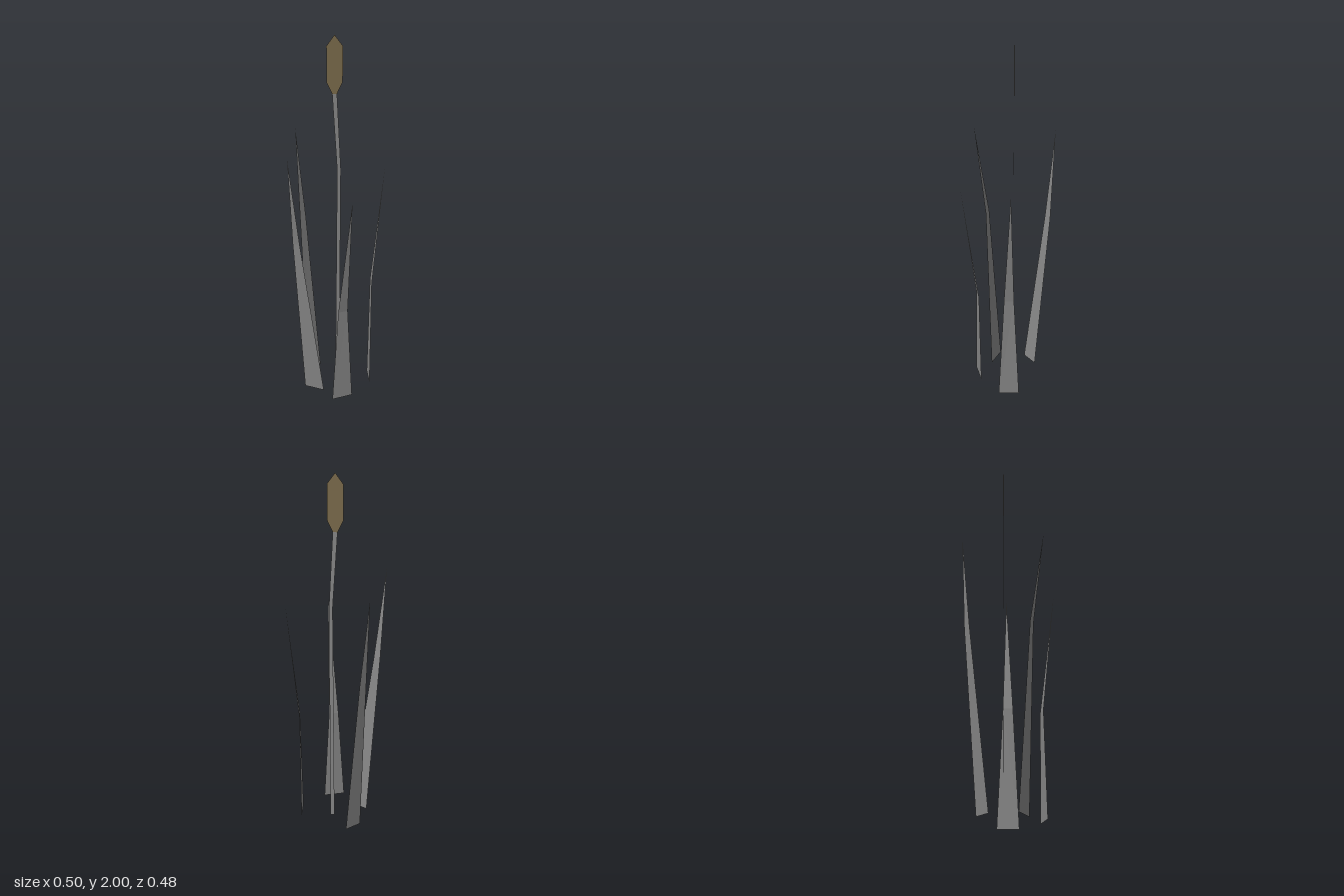
import * as THREE from 'three';

const leafMaterial = new THREE.MeshStandardMaterial({ color: 0x868686, flatShading: true, side: THREE.DoubleSide });
const headMaterial = new THREE.MeshStandardMaterial({ color: 0x7a6a4b, flatShading: true, side: THREE.DoubleSide });

// Flat ribbon through left/right point pairs, from the bottom up.
function ribbon(name, rows, material) {
  const positions = rows.flatMap(([a, b]) => [...a, ...b]);
  const index = [];
  for (let i = 0; i < rows.length - 1; i++) {
    const k = i * 2;
    index.push(k, k + 1, k + 3);
    // a row that ends in a point needs only one triangle
    const [a, b] = rows[i + 1];
    if (a.some((v, j) => v !== b[j])) index.push(k, k + 3, k + 2);
  }
  const geometry = new THREE.BufferGeometry();
  geometry.setAttribute('position', new THREE.Float32BufferAttribute(positions, 3));
  geometry.setIndex(index);
  geometry.computeVertexNormals();
  const mesh = new THREE.Mesh(geometry, material);
  mesh.name = name;
  return mesh;
}

// Each blade: base edge, narrower bend edge and tip, as [x, z] with heights.
const blades = [
  { name: 'backLeaf', base: [[-0.158, -0.091], [-0.086, -0.154]], bend: [[-0.188, -0.195], [-0.157, -0.223]], bendY: 0.95, tip: [-0.204, 1.455, -0.24] },
  { name: 'frontRightLeaf', base: [[-0.181, 0.05], [-0.078, 0.098]], bend: [[-0.233, 0.113], [-0.198, 0.129]], bendY: 0.95, tip: [-0.251, 1.455, 0.19] },
  { name: 'leftLeaf', base: [[0.186, 0.044], [0.18, -0.069]], bend: [[0.191, 0.013], [0.186, -0.04]], bendY: 0.64, tip: [0.251, 1.31, -0.025] },
  { name: 'frontLeaf', base: [[-0.034, 0.185], [0.077, 0.149]], bend: [[-0.001, 0.173], [0.05, 0.156]], bendY: 0.56, tip: [0.065, 1.24, 0.239] },
];

export function createModel() {
  const group = new THREE.Group();
  group.name = 'reedPlant';

  for (const { name, base, bend, bendY, tip } of blades) {
    const rows = [
      base.map(([x, z]) => [x, 0, z]),
      bend.map(([x, z]) => [x, bendY, z]),
      [tip, tip],
    ];
    group.add(ribbon(name, rows, leafMaterial));
  }

  // Flat stalk and seed head in one upright plane: [centre x, y, half width]
  const z = -0.03;
  const flat = (rows) => rows.map(([x, y, w]) => [[x - w, y, z], [x + w, y, z]]);
  group.add(ribbon('stalk', flat([
    [0.006, 0, 0.011], [0.014, 1.3, 0.0095], [-0.008, 1.705, 0.012],
  ]), leafMaterial));
  group.add(ribbon('seedHead', flat([
    [-0.008, 1.705, 0.012], [-0.008, 1.765, 0.04], [-0.008, 1.945, 0.04], [-0.008, 2, 0],
  ]), headMaterial));

  return group;
}
